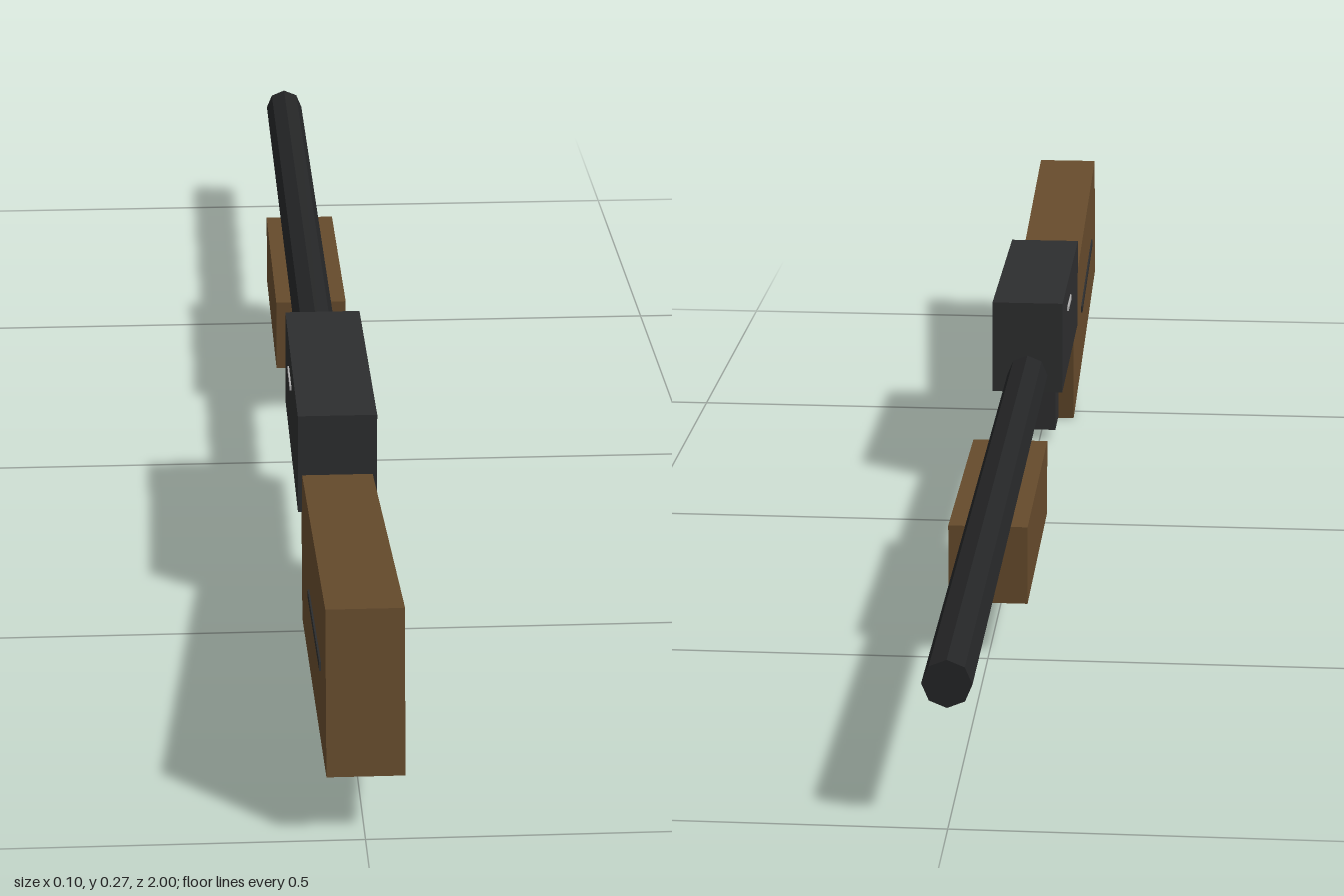
import * as THREE from 'three';

const material = (name, color, flatShading = false) => {
  const m = new THREE.MeshStandardMaterial({ color, flatShading });
  m.name = name;
  return m;
};

export function createModel() {
  const wood = material('wood', 0x664b2c);
  const steel = material('dark steel', 0x2d2e2f);
  const barrelSteel = material('barrel steel', 0x242526, true);
  const silver = material('silver', 0xb0b0b0);

  const model = new THREE.Group();
  model.name = 'longGun';

  const add = (parent, name, geometry, mat, x, y, z) => {
    const mesh = new THREE.Mesh(geometry, mat);
    mesh.name = name;
    mesh.position.set(x, y, z);
    parent.add(mesh);
    return mesh;
  };
  const box = (parent, name, w, h, d, mat, x, y, z) =>
    add(parent, name, new THREE.BoxGeometry(w, h, d), mat, x, y, z);

  // Shoulder stock, raised towards its butt end
  const stock = new THREE.Group();
  stock.name = 'stock';
  stock.position.set(0, 0.134, 0.72);
  stock.rotation.x = -0.143;
  model.add(stock);
  box(stock, 'stockBody', 0.084, 0.187, 0.54, wood, 0, 0, 0);

  // Receiver and grip
  box(model, 'receiver', 0.094, 0.124, 0.335, steel, 0, 0.206, 0.2975);
  box(model, 'grip', 0.046, 0.135, 0.062, steel, 0, 0.0875, 0.385);

  // Thin inlays on both sides
  for (const [side, s] of [['left', 1], ['right', -1]]) {
    box(stock, side + 'StockLine', 0.003, 0.01, 0.258, steel, s * 0.0425, -0.003, 0.043);
    box(model, side + 'ReceiverMark', 0.003, 0.006, 0.065, silver, s * 0.0475, 0.233, 0.2625);
  }

  // Barrel, running into the receiver
  const barrel = new THREE.CylinderGeometry(0.027, 0.027, 1.15, 8);
  barrel.rotateX(Math.PI / 2);
  add(model, 'barrel', barrel, barrelSteel, 0, 0.168, -0.425);

  // Fore-end under the barrel
  box(model, 'foreEnd', 0.094, 0.096, 0.335, wood, 0, 0.12, -0.3275);

  return model;
}
